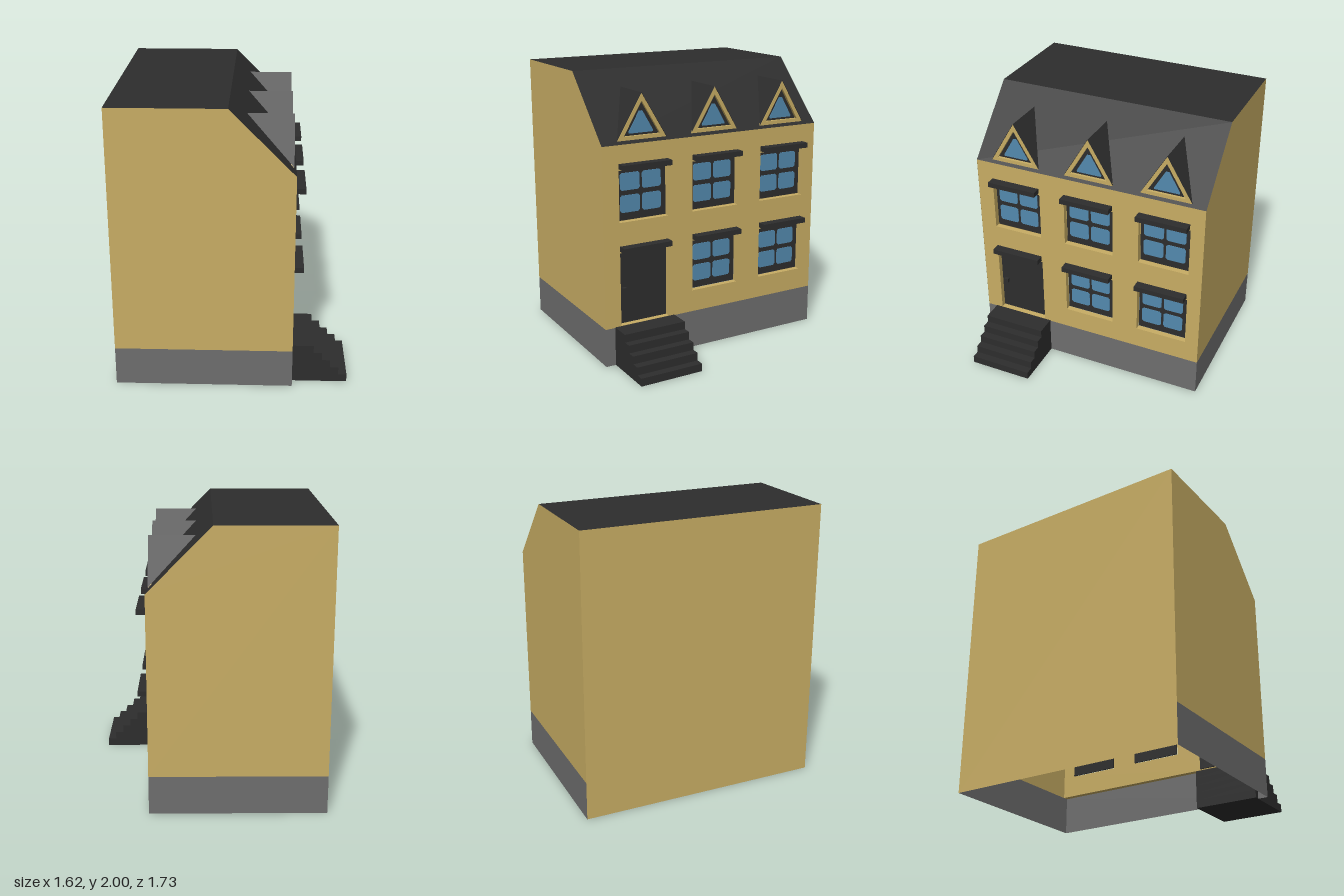
import * as THREE from 'three';

const mat = (name, color, side = THREE.FrontSide) => {
  const m = new THREE.MeshStandardMaterial({ color, side });
  m.name = name;
  return m;
};

export function createModel() {
  const tan = mat('tan plaster', 0xc8ad64, THREE.DoubleSide);
  const grey = mat('grey plinth', 0x6e6e6e, THREE.DoubleSide);
  const dark = mat('dark slate', 0x2d2d2d, THREE.DoubleSide);
  const blue = mat('blue glass', 0x5389ae);

  // Local frame: facade faces +z, u runs along local x; turned to face +x at the end
  const house = new THREE.Group();
  house.name = 'house';
  const W = 0.865, BACK = -0.81, FRONT = 0.42, PLINTH = 0.276, EAVE = 1.555, RIDGE = -0.02;

  const add = (name, geo, material, x = 0, y = 0, z = 0) => {
    const m = new THREE.Mesh(geo, material);
    m.name = name;
    m.position.set(x, y, z);
    house.add(m);
    return m;
  };
  // Flat convex face from corner points
  const face = (name, material, pts) => {
    const pos = [];
    for (let i = 1; i < pts.length - 1; i++) pos.push(...pts[0], ...pts[i], ...pts[i + 1]);
    const g = new THREE.BufferGeometry();
    g.setAttribute('position', new THREE.Float32BufferAttribute(pos, 3));
    g.computeVertexNormals();
    add(name, g, material);
  };
  const box = (name, material, x0, x1, y0, y1, z0, z1) =>
    add(name, new THREE.BoxGeometry(x1 - x0, y1 - y0, z1 - z0), material,
      (x0 + x1) / 2, (y0 + y1) / 2, (z0 + z1) / 2);
  const outline = (pts, Type = THREE.Shape) => new Type(pts.map(p => new THREE.Vector2(...p)));
  const rect = (x0, x1, y0, y1) => [[x0, y0], [x1, y0], [x1, y1], [x0, y1]];
  const extrude = (shape, depth) => new THREE.ExtrudeGeometry(shape, { depth, bevelEnabled: false });

  // Gable ends with their plinths
  for (const s of [-1, 1]) {
    const u = s * W;
    const wall = [[u, PLINTH, BACK], [u, PLINTH, FRONT], [u, EAVE, FRONT], [u, 2, RIDGE], [u, 2, BACK]];
    const base = [[u, 0, BACK], [u, 0, FRONT], [u, PLINTH, FRONT], [u, PLINTH, BACK]];
    face('endWall', tan, s > 0 ? wall.reverse() : wall);
    face('endPlinth', grey, s > 0 ? base.reverse() : base);
  }
  // Back wall, roof planes and front plinth
  face('backWall', tan, [[W, 0, BACK], [-W, 0, BACK], [-W, 2, BACK], [W, 2, BACK]]);
  face('flatRoof', dark, [[-W, 2, RIDGE], [W, 2, RIDGE], [W, 2, BACK], [-W, 2, BACK]]);
  face('slopedRoof', dark, [[-W, EAVE, FRONT], [W, EAVE, FRONT], [W, 2, RIDGE], [-W, 2, RIDGE]]);
  face('frontPlinth', grey, [[-W, 0, FRONT], [W, 0, FRONT], [W, PLINTH, FRONT], [-W, PLINTH, FRONT]]);

  // Facade with recessed openings
  const RECESS = 0.04, OPEN_W = 0.375;
  const columns = [-0.745, -0.178, 0.39];
  const floors = [{ y0: 0.435, y1: 0.808 }, { y0: 1.022, y1: 1.38 }];
  const wall = outline(rect(-W + 0.001, W - 0.001, PLINTH, EAVE));
  columns.forEach((u, col) => floors.forEach(({ y0, y1 }, level) => {
    const isDoor = col === 0 && level === 0;
    const bottom = isDoor ? PLINTH + 0.006 : y0;
    const u1 = u + OPEN_W;
    wall.holes.push(outline(rect(u, u1, bottom, y1), THREE.Path));
    const zIn = FRONT - RECESS;
    box('lintel', dark, u, u + 0.37, y1 + 0.012, y1 + 0.048, FRONT - 0.01, 0.487);
    if (isDoor) {
      box('door', dark, u, u1, bottom, y1, zIn - 0.01, zIn);
      box('doorKnob', dark, u + 0.025, u + 0.055, 0.515, 0.545, zIn, zIn + 0.025);
      return;
    }
    box('windowFrame', dark, u + 0.002, u1 - 0.002, y0 + 0.002, y1 - 0.006, zIn - 0.01, zIn);
    // Four panes with softened corners
    for (const [a, b] of [[0.026, 0.174], [0.192, 0.336]])
      for (const [c, d] of [[0.055, 0.176], [0.21, 0.331]]) {
        const k = 0.013;
        const pane = outline([[a + k, c], [b - k, c], [b, c + k], [b, d - k],
          [b - k, d], [a + k, d], [a, d - k], [a, c + k]]);
        add('windowPane', extrude(pane, 0.004), blue, u, y0, zIn);
      }
  }));
  add('facade', extrude(wall, RECESS), tan, 0, 0, FRONT - RECESS);

  // Triangular dormers
  const tri = (half, y0, y1) => [[-half, y0], [half, y0], [0, y1]];
  for (const c of [-0.56, 0.007, 0.576]) {
    const z = 0.406, y0 = 1.575, y1 = 1.887, h = 0.187;
    face('dormerRoof', dark, [[c, y1, z], [c, y1, 0.092], [c - h, y0, z]]);
    face('dormerRoof', dark, [[c, y1, z], [c + h, y0, z], [c, y1, 0.092]]);
    const rim = outline(tri(h - 0.003, y0 + 0.001, y1 - 0.004));
    rim.holes.push(outline(tri(0.137, 1.602, 1.832), THREE.Path));
    add('dormerTrim', extrude(rim, 0.025), tan, c, 0, z - 0.025);
    add('dormerFrame', extrude(outline(tri(0.142, 1.6, 1.838)), 0.004), dark, c, 0, z - 0.025);
    const glass = outline([[-0.09, 1.617], [0.09, 1.617], [0.092, 1.628], [0.012, 1.765], [-0.012, 1.765], [-0.092, 1.628]]);
    add('dormerPane', extrude(glass, 0.004), blue, c, 0, z - 0.02);
  }

  // Front steps
  const rise = 0.28 / 5;
  for (let i = 0; i < 5; i++)
    box('frontStep', dark, -0.793, -0.326, i * rise, (i + 1) * rise, 0.385, 0.805 - i * 0.059);

  house.rotation.y = Math.PI / 2;
  const model = new THREE.Group();
  model.name = 'townhouse';
  model.add(house);
  return model;
}
